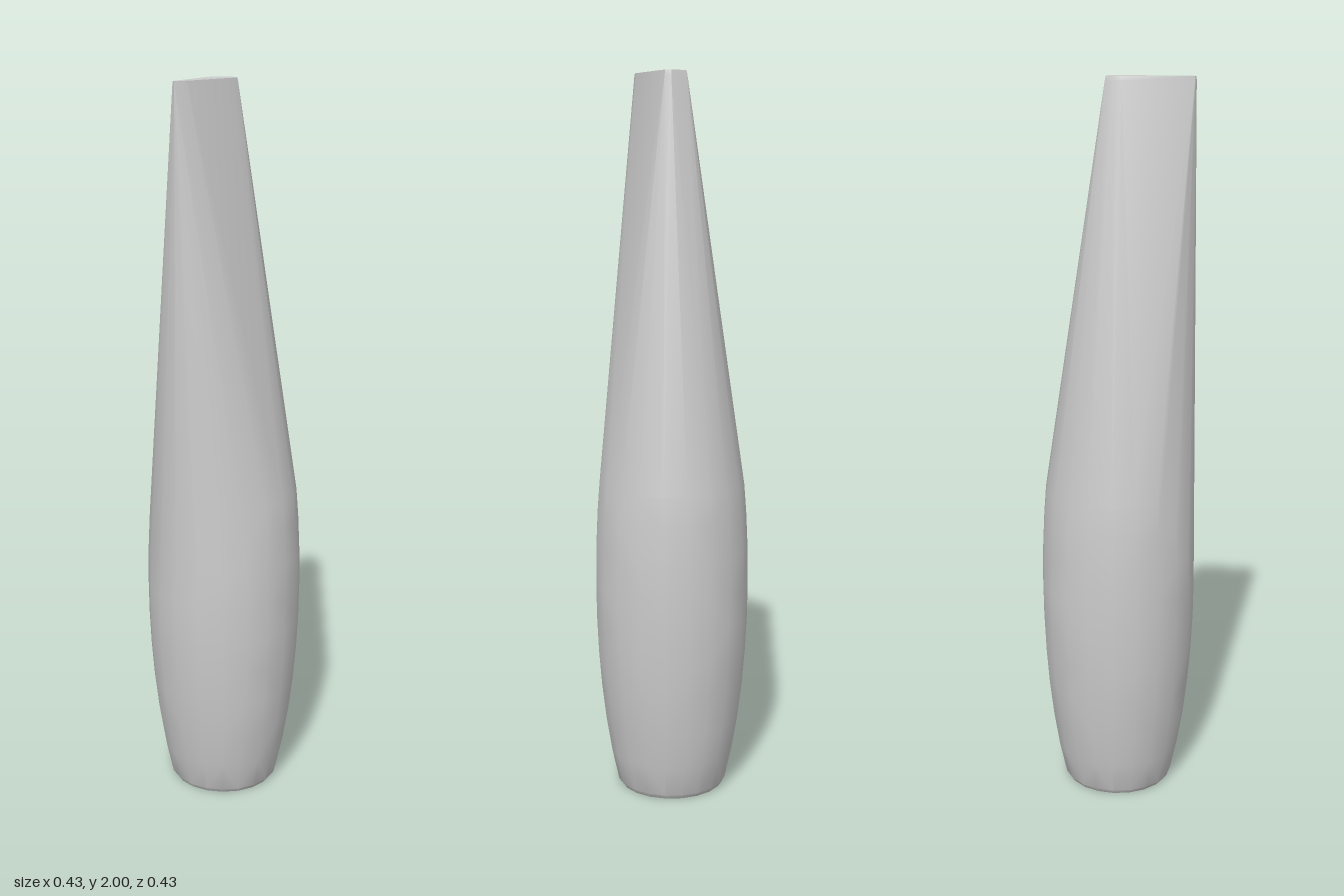
import * as THREE from 'three';
import { ConvexGeometry } from 'three/addons/geometries/ConvexGeometry.js';
import { toCreasedNormals } from 'three/addons/utils/BufferGeometryUtils.js';

// Round section of the swollen lower body
function ring(y, radius, sides = 20) {
  return Array.from({ length: sides }, (_, i) => {
    const a = (i / sides) * Math.PI * 2;
    return new THREE.Vector3(Math.sin(a) * radius, y, Math.cos(a) * radius);
  });
}

export function createModel() {
  const group = new THREE.Group();
  const points = ring(0, 0.146);

  // Belly: an ellipsoid widest at y = 0.6, cut off flat near the base
  for (const y of [0.012, 0.1, 0.2, 0.3, 0.4, 0.5, 0.6, 0.7, 0.8, 0.88]) {
    points.push(...ring(y, 0.216 * Math.sqrt(1 - ((y - 0.6) / 0.84) ** 2)));
  }

  // Narrow wedge-shaped tip, pointed toward the front
  const tip = [
    [-0.028, -0.03], [0.018, -0.03], [0.03, -0.018], [0.03, 0.01],
    [0.016, 0.17], [0.002, 0.203], [-0.006, 0.2], [-0.042, 0.012], [-0.04, -0.005],
  ];
  for (const [x, z] of tip) {
    points.push(new THREE.Vector3(x, 2, z));
    // Small bevel below the rim
    points.push(new THREE.Vector3(x * 1.06, 1.99, z < 0.1 ? z * 1.06 : z + 0.001));
  }

  // The tapering skin is the hull stretched between belly and tip
  const geometry = toCreasedNormals(new ConvexGeometry(points), 0.45);
  const body = new THREE.Mesh(geometry, new THREE.MeshStandardMaterial({ color: 0xcccccc }));
  body.name = 'taperedBody';
  group.add(body);
  return group;
}
